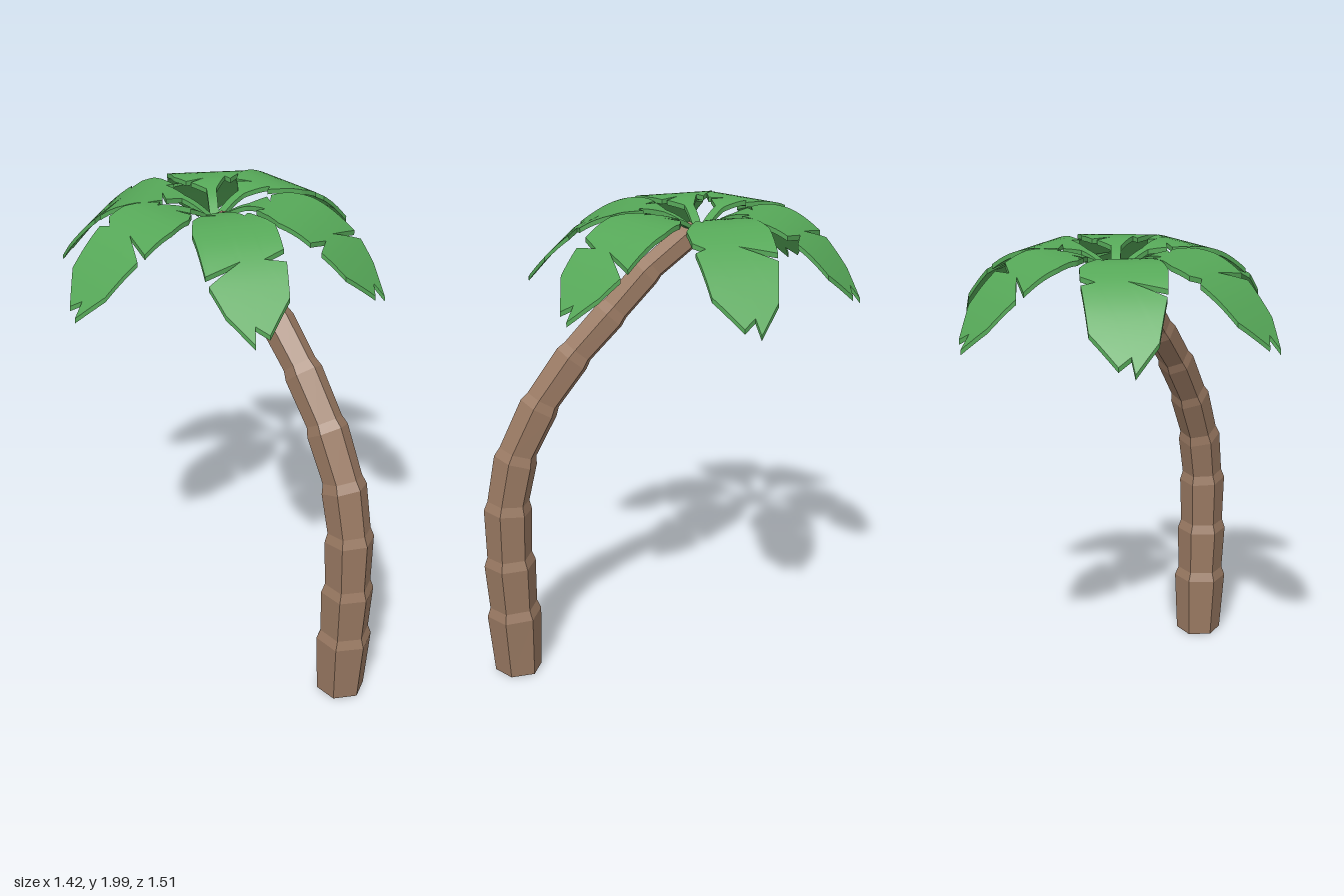
import * as THREE from 'three';
import { toCreasedNormals } from 'three/addons/utils/BufferGeometryUtils.js';

// Hexagonal trunk: each joint flares out, then steps in to a narrower collar
function trunkGeometry() {
  // [z, y, radius] of every joint, from the ground up
  const joints = [
    [0.62, 0.01, 0.102], [0.63, 0.28, 0.118], [0.64, 0.52, 0.111], [0.64, 0.77, 0.103],
    [0.6, 0.99, 0.094], [0.495, 1.21, 0.086], [0.35, 1.41, 0.079], [0.19, 1.58, 0.072],
    [0.035, 1.745, 0.065], [-0.14, 1.885, 0.058],
  ];
  const rings = [];
  joints.forEach(([z, y, r], i) => {
    const a = joints[Math.max(i - 1, 0)], b = joints[Math.min(i + 1, joints.length - 1)];
    const len = Math.hypot(b[0] - a[0], b[1] - a[1]);
    const tz = i ? (b[0] - a[0]) / len : 0, ty = i ? (b[1] - a[1]) / len : 1;
    rings.push({ z, y, r, tz, ty });
    const last = i === joints.length - 1;
    const step = last ? 0.05 : 0.04;
    if (i) rings.push({ z: z + tz * step, y: y + ty * step, r: r * (last ? 0.7 : 0.87), tz, ty });
  });
  const geo = new THREE.CylinderGeometry(1, 1, 1, 6, rings.length - 1);
  const p = geo.attributes.position;
  for (let i = 0; i < p.count; i++) {
    const k = rings[Math.round((p.getY(i) + 0.5) * (rings.length - 1))];
    const side = p.getZ(i) * k.r;
    p.setXYZ(i, p.getX(i) * k.r, k.y - side * k.tz, k.z + side * k.ty);
  }
  const flat = geo.toNonIndexed();
  flat.computeVertexNormals();
  return flat;
}

// Split every triangle into four, so that a flat plate can be bent smoothly
function subdivide(points) {
  const out = [];
  for (let i = 0; i < points.length; i += 3) {
    const [a, b, c] = points.slice(i, i + 3);
    const ab = a.clone().lerp(b, 0.5), bc = b.clone().lerp(c, 0.5), ca = c.clone().lerp(a, 0.5);
    out.push(a, ab, ca, ab, b, bc, ca, bc, c, ab, bc, ca);
  }
  return out;
}

// Height of the frond along its length: rising stalk, flat crest, drooping tip
const droop = new THREE.CatmullRomCurve3([
  [-0.05, 1.87], [0, 1.9], [0.1, 1.965], [0.19, 1.995], [0.28, 2], [0.39, 1.97],
  [0.5, 1.9], [0.6, 1.805], [0.71, 1.675], [0.8, 1.56],
].map(([u, y]) => new THREE.Vector3(u, y, 0))).getPoints(120);

function heightAt(u) {
  let i = 1;
  while (i < droop.length - 1 && droop[i].x < u) i++;
  const a = droop[i - 1], b = droop[i];
  return Math.min(2, a.y + (b.y - a.y) * (u - a.x) / (b.x - a.x));
}

// Frond plate with a stalk and split edges; cut is where the second split ends
function frondGeometry({ scale = 1, flip = 1, cut = -0.12, split = 0.435 }) {
  const outline = [
    [0.01, 0.018], [0.14, 0.02], [0.19, 0.08], [0.225, 0.025], [0.2, 0.1], [0.25, 0.145],
    [0.35, 0.168], [split + 0.04, 0.157], [split, 0.01], [split + 0.07, 0.15],
    [0.63, 0.105], [0.71, 0.01], [0.665, 0.0], [0.69, -0.05], [0.6, -0.15],
    [split + 0.015, -0.165], [split, cut], [split - 0.03, -0.165], [0.33, -0.163],
    [0.25, -0.112], [0.21, -0.085], [0.24, -0.065], [0.14, -0.02], [0.01, -0.018],
  ];
  const shape = new THREE.Shape(outline.map(([u, v]) => new THREE.Vector2(u * scale, v * flip)));
  const plate = new THREE.ExtrudeGeometry(shape, { depth: 0.02, bevelEnabled: false });
  const flat = plate.index ? plate.toNonIndexed() : plate;
  const p = flat.attributes.position;
  let points = [];
  for (let i = 0; i < p.count; i++) points.push(new THREE.Vector3().fromBufferAttribute(p, i));
  for (let n = 0; n < 3; n++) points = subdivide(points);
  // Lay the plate flat and bend it along the droop curve
  const bent = points.map((q) => new THREE.Vector3(q.x, heightAt(q.x / scale) - 0.02 + q.z, -q.y));
  return toCreasedNormals(new THREE.BufferGeometry().setFromPoints(bent), 0.6);
}

export function createModel() {
  const bark = new THREE.MeshStandardMaterial({ color: 0x997962 });
  bark.name = 'bark brown';
  const leaf = new THREE.MeshStandardMaterial({ color: 0x56a858 });
  leaf.name = 'leaf green';

  const group = new THREE.Group();
  group.name = 'palmTree';

  const trunk = new THREE.Mesh(trunkGeometry(), bark);
  trunk.name = 'trunk';
  group.add(trunk);

  // Six fronds around the top of the trunk
  const fronds = [
    { name: 'leftFrond', angle: 0 },
    { name: 'backLeftFrond', angle: 56, scale: 0.94, cut: -0.06, split: 0.455 },
    { name: 'backRightFrond', angle: 124, scale: 0.94, cut: -0.11, split: 0.42 },
    { name: 'rightFrond', angle: 180 },
    { name: 'frontRightFrond', angle: 243, scale: 1.025, flip: -1, cut: -0.08, split: 0.48 },
    { name: 'frontLeftFrond', angle: 297, scale: 1.025, cut: -0.07, split: 0.49 },
  ];
  for (const f of fronds) {
    const mesh = new THREE.Mesh(frondGeometry(f), leaf);
    mesh.name = f.name;
    mesh.position.z = -0.195;
    mesh.rotation.y = THREE.MathUtils.degToRad(f.angle);
    group.add(mesh);
  }
  return group;
}
